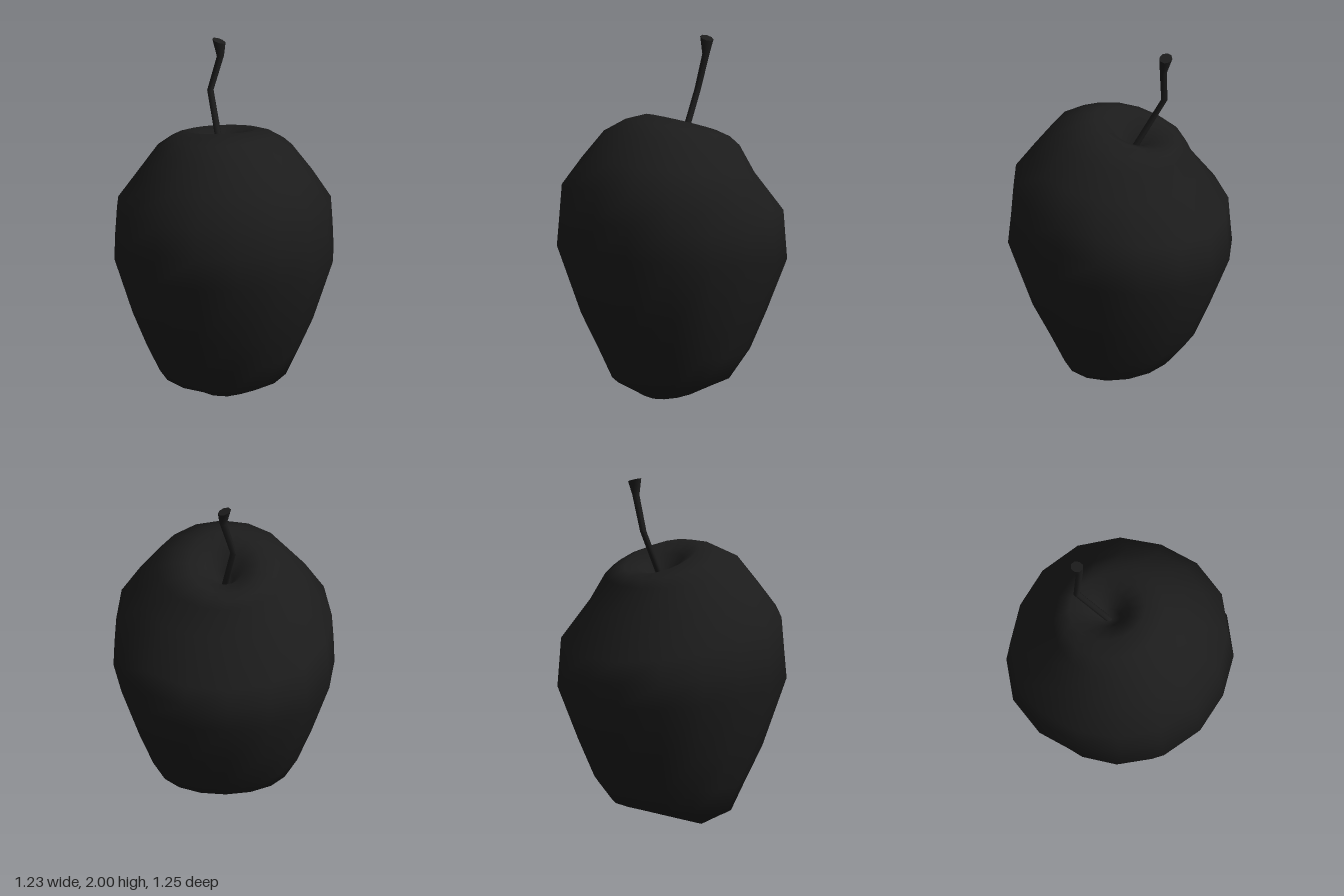
import * as THREE from 'three';
import { mergeVertices, toCreasedNormals } from 'three/addons/utils/BufferGeometryUtils.js';

// Closed skin over rings, listed from bottom to top; ring(i, angle) gives [x, y, z]
function loft(count, sides, ring) {
  const pos = [], index = [];
  for (let i = 0; i < count; i++) {
    for (let j = 0; j < sides; j++) pos.push(...ring(i, (j / sides) * Math.PI * 2));
  }
  for (let i = 0; i < count - 1; i++) {
    for (let j = 0; j < sides; j++) {
      const k = (j + 1) % sides;
      const a = i * sides + j, b = i * sides + k;
      const c = b + sides, d = a + sides;
      index.push(a, b, c, a, c, d);
    }
  }
  const g = new THREE.BufferGeometry();
  g.setAttribute('position', new THREE.Float32BufferAttribute(pos, 3));
  g.setIndex(index);
  const merged = mergeVertices(g, 1e-4);
  merged.computeVertexNormals();
  return merged;
}

// Fruit rings: [front z, front y, back z, back y, half width, bulge, dent]
// The rings tilt one way at the base and the other way at the top.
const FRUIT = [
  [-0.03, 0.14, -0.03, 0.14, 0, 0, 0],
  [0.05, 0.09, -0.11, 0.14, 0.09, 0, 0],
  [0.15, 0.00, -0.20, 0.107, 0.20, 0, 0],
  [0.31, 0.09, -0.31, 0.14, 0.36, 0, 0],
  [0.39, 0.26, -0.42, 0.27, 0.43, 0.01, 0],
  [0.49, 0.46, -0.51, 0.48, 0.51, 0.02, 0],
  [0.625, 0.86, -0.62, 0.76, 0.615, 0.035, 0],
  [0.61, 1.04, -0.61, 0.89, 0.61, 0.03, 0.04],
  [0.595, 1.22, -0.60, 1.02, 0.60, 0.03, 0],
  [0.49, 1.365, -0.43, 1.25, 0.49, 0.01, 0],
  [0.38, 1.51, -0.37, 1.40, 0.38, 0, 0],
  [0.25, 1.575, -0.33, 1.44, 0.29, 0, 0],
  [0.14, 1.60, -0.29, 1.46, 0.20, 0, 0],
  [0.05, 1.53, -0.18, 1.45, 0.11, 0, 0],
  [0.00, 1.42, -0.11, 1.39, 0.05, 0, 0],
  [-0.05, 1.37, -0.05, 1.37, 0, 0, 0],
];

function fruitPoint(i, t) {
  const [fz, fy, bz, by, w, bulge, dent] = FRUIT[i];
  const c = Math.cos(t), s = Math.sin(t);
  // slight diagonal fullness, and a shallow dent on the front left
  const k = 1 + bulge * Math.sin(2 * t) ** 2 - dent * 1.8 * Math.exp(-(((t - 0.95) / 0.3) ** 2));
  return [w * s * k, (fy + by) / 2 + ((fy - by) / 2) * c, (fz + bz) / 2 + ((fz - bz) / 2) * c * k];
}

// Stem rings: [x, y, z, radius, sideways tilt]
const STEM = [
  [0, 1.34, -0.045, 0, 0],
  [0, 1.34, -0.045, 0.019, 0],
  [-0.045, 1.70, -0.24, 0.018, 0],
  [0.012, 1.90, -0.247, 0.02, 0],
  [0.006, 1.988, -0.26, 0.037, -0.35],
  [0.006, 1.988, -0.26, 0, 0],
];

function stemPoint(i, t) {
  const [x, y, z, r, tilt] = STEM[i];
  return [x + r * Math.sin(t), y + r * tilt * Math.sin(t), z + r * Math.cos(t)];
}

export function createModel() {
  const group = new THREE.Group();
  const material = new THREE.MeshStandardMaterial({ color: 0x1c1c1c });

  const fruit = new THREE.Mesh(loft(FRUIT.length, 16, fruitPoint), material);
  fruit.name = 'fruit';
  group.add(fruit);

  const stem = new THREE.Mesh(toCreasedNormals(loft(STEM.length, 8, stemPoint), 1), material);
  stem.name = 'stem';
  group.add(stem);

  return group;
}
